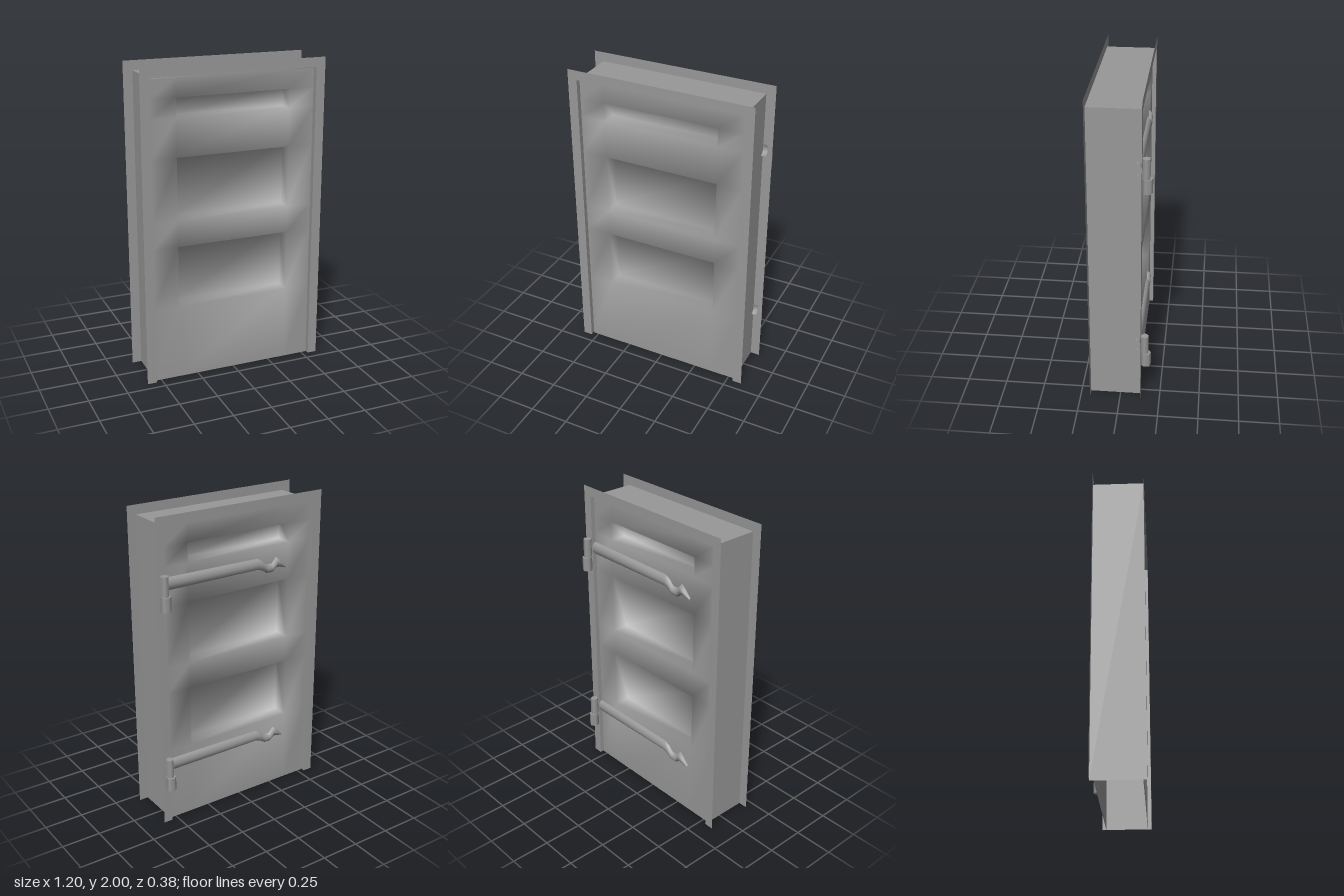
import * as THREE from 'three';

const grey = new THREE.MeshStandardMaterial({ color: 0x989898, side: THREE.DoubleSide });
const FRONT = 0.19, BACK = -0.13; // planes of the two trims
const W = 0.54, H = 1.94;         // opening of the frame

function add(parent, name, geometry, x = 0, y = 0, z = 0) {
  const mesh = new THREE.Mesh(geometry, grey);
  mesh.name = name;
  mesh.position.set(x, y, z);
  parent.add(mesh);
  return mesh;
}

function indexed(points, index) {
  const g = new THREE.BufferGeometry();
  g.setAttribute('position', new THREE.Float32BufferAttribute(points, 3));
  g.setIndex(index);
  g.computeVertexNormals();
  return g;
}

// Flat three-sided trim, open at the floor
function trimGeometry() {
  const s = new THREE.Shape();
  [[-0.6, 0], [-W, 0], [-W, H], [W, H], [W, 0], [0.6, 0], [0.6, 2], [-0.6, 2]]
    .forEach(([x, y], i) => (i ? s.lineTo(x, y) : s.moveTo(x, y)));
  return new THREE.ShapeGeometry(s);
}

// Door skin facing +z with three sunken fields; normals at the field corners
// lean towards the field, weighted by the angles of the faces that meet there
function panelGeometry(depth) {
  const xs = [-0.535, -0.372, 0.372, 0.535];
  const ys = [0, 0.487, 0.884, 1.053, 1.45, 1.692, 1.813, 1.932];
  const points = [], leans = [], index = [];
  const quad = (a, b, c, d) => index.push(a, b, c, a, c, d);
  for (const y of ys) for (const x of xs) {
    points.push(x, y, 0);
    leans.push([0, 0, 1]);
  }
  for (let j = 0; j < ys.length - 1; j++) {
    for (let i = 0; i < 3; i++) {
      const a = j * 4 + i;
      const rim = [a, a + 1, a + 5, a + 4];
      if (i !== 1 || j % 2 === 0) {
        quad(...rim);
        continue;
      }
      const base = points.length / 3;
      rim.forEach((v, k) => {
        const sx = k === 0 || k === 3 ? 1 : -1, sy = k < 2 ? 1 : -1;
        points.push(points[v * 3], points[v * 3 + 1], -depth);
        leans[v] = [sx, sy, 3];
        leans.push([sx, sy, 1]);
      });
      for (let k = 0; k < 4; k++) {
        const n = (k + 1) % 4;
        quad(rim[k], rim[n], base + n, base + k);
      }
      quad(base, base + 1, base + 2, base + 3);
    }
  }
  const g = indexed(points, index);
  g.setAttribute('normal', new THREE.Float32BufferAttribute(leans.flat(), 3));
  g.normalizeNormals();
  return g;
}

// Arched strap lofted along x, ending in a wavy tail
function strapGeometry() {
  // stations: x, centre height, half height, bulge
  const stations = [
    [0.57, 0, 0.036, 0.03], [0.53, 0, 0.042, 0.03], [-0.13, 0, 0.038, 0.03],
    [-0.165, -0.014, 0.034, 0.03], [-0.2, -0.042, 0.028, 0.03], [-0.24, -0.042, 0.03, 0.03],
    [-0.272, -0.01, 0.036, 0.03], [-0.3, -0.022, 0.026, 0.028], [-0.345, -0.052, 0.008, 0.016],
  ];
  const n = 6, points = [], index = [];
  for (const [x, y, h, b] of stations) {
    for (let k = 0; k <= n; k++) {
      const t = (k / n) * Math.PI;
      points.push(x, y - h * Math.cos(t), -b * Math.sin(t));
    }
  }
  for (let s = 0; s < stations.length - 1; s++) {
    for (let k = 0; k < n; k++) {
      const a = s * (n + 1) + k, c = a + n + 1;
      index.push(a, a + 1, c, c, a + 1, c + 1);
    }
  }
  return indexed(points, index);
}

export function createModel() {
  const model = new THREE.Group();
  model.name = 'framedDoor';

  // Frame: two trims joined by the lining
  const frame = new THREE.Group();
  frame.name = 'frame';
  model.add(frame);
  add(frame, 'frontTrim', trimGeometry(), 0, 0, FRONT);
  add(frame, 'backTrim', trimGeometry(), 0, 0, BACK).rotation.y = Math.PI;
  const depth = FRONT - BACK, mid = (FRONT + BACK) / 2;
  for (const [side, name] of [[1, 'leftJamb'], [-1, 'rightJamb']]) {
    add(frame, name, new THREE.PlaneGeometry(depth, H), side * W, H / 2, mid).rotation.y = side * Math.PI / 2;
  }
  add(frame, 'topLining', new THREE.PlaneGeometry(2 * W, depth), 0, H, mid).rotation.x = -Math.PI / 2;

  // Door: a hollow leaf of two skins
  const door = new THREE.Group();
  door.name = 'door';
  model.add(door);
  add(door, 'frontPanel', panelGeometry(0.105), 0, 0, 0.165);
  add(door, 'backPanel', panelGeometry(0.105), 0, 0, -0.105).rotation.y = Math.PI;

  // Hinges: socket, pin and strap
  for (const [y, name] of [[0.395, 'lowerHinge'], [1.59, 'upperHinge']]) {
    const hinge = new THREE.Group();
    hinge.name = name;
    hinge.position.y = y;
    model.add(hinge);
    add(hinge, 'socket', new THREE.CylinderGeometry(0.032, 0.032, 0.09, 6), 0.56, -0.1, -0.16).rotation.y = 0.15;
    add(hinge, 'pin', new THREE.CylinderGeometry(0.026, 0.026, 0.125, 6), 0.56, 0.005, -0.153).rotation.y = Math.PI / 6;
    add(hinge, 'strap', strapGeometry(), 0, 0, -0.1);
  }
  return model;
}
